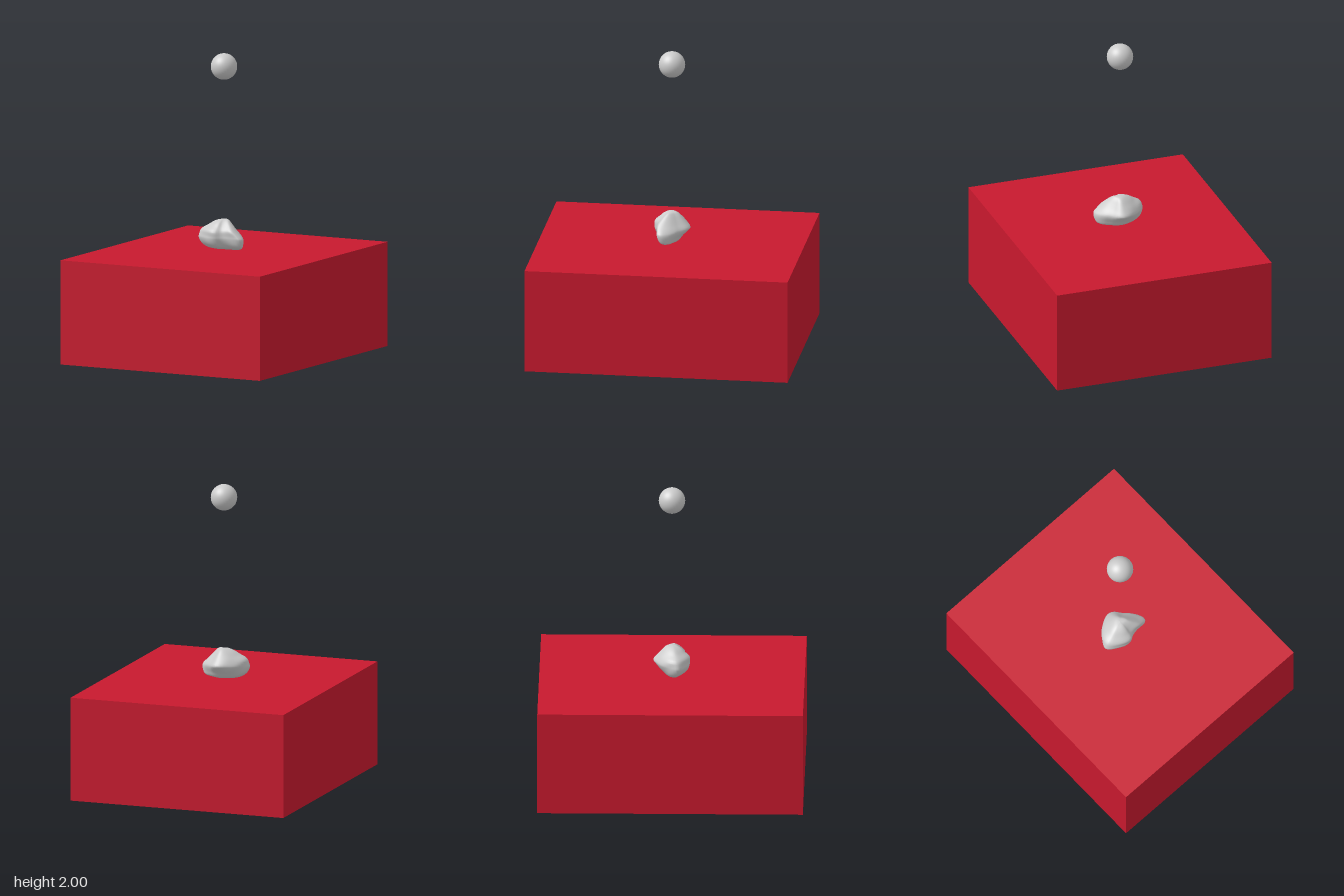
import * as THREE from 'three';

// Rock plan outline (x, z), clockwise seen from above
const OUTLINE = [
  [-0.165, 0.04], [-0.15, -0.01], [-0.11, -0.06], [-0.06, -0.1], [0, -0.12], [0.05, -0.105],
  [0.09, -0.06], [0.12, -0.03], [0.15, 0.01], [0.163, 0.05], [0.15, 0.08], [0.08, 0.083],
  [0.03, 0.092], [-0.01, 0.115], [-0.06, 0.112], [-0.12, 0.08],
];

// Rock levels: height, then reach to -x, +x, +z and -z
const LEVELS = [
  [0.706, 0, 0, 0, 0],
  [0.708, 0.08, 0.11, 0.04, 0.04],
  [0.72, 0.12, 0.15, 0.075, 0.055],
  [0.745, 0.15, 0.163, 0.1, 0.075],
  [0.78, 0.165, 0.163, 0.115, 0.108],
  [0.8, 0.165, 0.148, 0.115, 0.12],
  [0.83, 0.155, 0.115, 0.113, 0.1],
  [0.86, 0.11, 0.085, 0.085, 0.075],
  [0.885, 0.07, 0.06, 0.057, 0.052],
  [0.9, 0.035, 0.04, 0.03, 0.03],
  [0.905, 0, 0, 0, 0],
];

function rockGeometry(around = 48, up = 32) {
  const outline = new THREE.CatmullRomCurve3(
    OUTLINE.map(([x, z]) => new THREE.Vector3(x, 0, z)), true);
  const columns = [];
  for (let j = 0; j < around; j++) {
    const p = outline.getPoint(j / around);
    columns.push(new THREE.CatmullRomCurve3(LEVELS.map(([y, left, right, front, back]) =>
      new THREE.Vector3(
        p.x * (p.x < 0 ? left / 0.165 : right / 0.163), y,
        p.z * (p.z > 0 ? front / 0.115 : back / 0.12)))));
  }
  const positions = [], index = [];
  for (let i = 0; i <= up; i++) {
    for (let j = 0; j < around; j++) {
      const p = columns[j].getPoint(i / up);
      // shallow dents and lumps
      const k = 1 + 0.025 * Math.sin(38 * p.x + 25 * p.y) * Math.sin(45 * p.y - 30 * p.z);
      positions.push(p.x * k, p.y, p.z * k);
      if (i === up) continue;
      const a = i * around + j, b = i * around + (j + 1) % around;
      index.push(a, a + around, b + around, a, b + around, b);
    }
  }
  const geometry = new THREE.BufferGeometry();
  geometry.setAttribute('position', new THREE.Float32BufferAttribute(positions, 3));
  geometry.setIndex(index);
  geometry.computeVertexNormals();
  return geometry;
}

export function createModel() {
  const model = new THREE.Group();
  const red = new THREE.MeshStandardMaterial({ color: 0xc8192e });
  const grey = new THREE.MeshStandardMaterial({ color: 0xcccccc });
  const add = (name, geometry, material, y = 0) => {
    const mesh = new THREE.Mesh(geometry, material);
    mesh.name = name;
    mesh.position.y = y;
    model.add(mesh);
  };

  // Plinth
  add('baseBlock', new THREE.BoxGeometry(1.49, 0.69, 1.74), red, 0.345);
  // Rock hovering just above the plinth
  add('rock', rockGeometry(), grey);
  // Floating ball
  add('ball', new THREE.SphereGeometry(0.087, 32, 24), grey, 1.913);

  return model;
}
